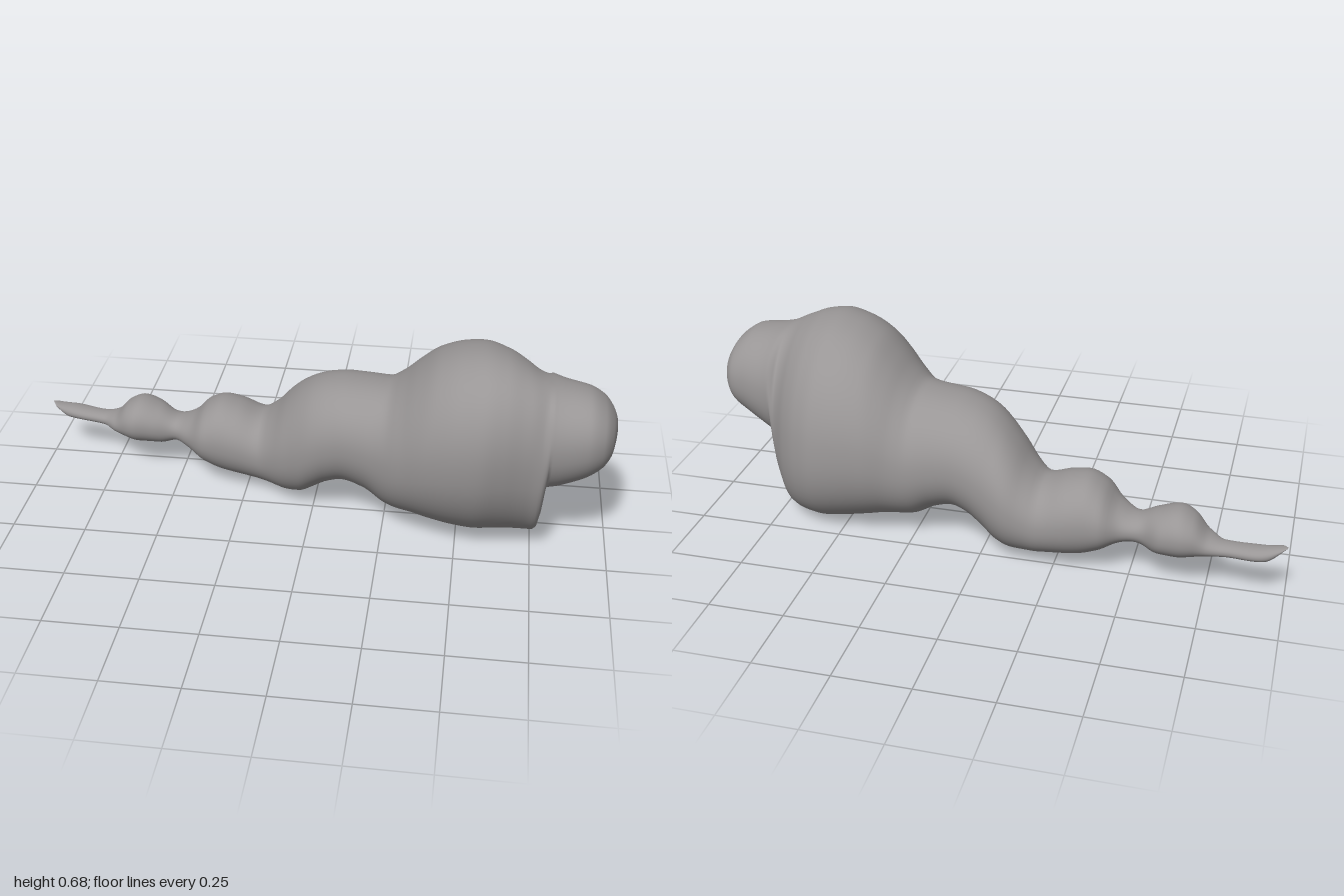
import * as THREE from 'three';

// Outline tables: [x, low, high]
const SIDE = [ // heights of underside and back
  [-1, .195, .195], [-.93, .14, .185], [-.8, .13, .175], [-.75, .12, .19], [-.7, .108, .24], [-.65, .1, .26],
  [-.58, .1, .24], [-.51, .12, .21], [-.45, .1, .235], [-.4, .07, .285], [-.34, .045, .31], [-.28, .035, .3],
  [-.2, .025, .275], [-.15, .02, .31], [-.1, .015, .37], [-.05, .025, .42], [0, .06, .455], [.05, .095, .475],
  [.11, .115, .487], [.18, .095, .49], [.25, .055, .492], [.3, .045, .525], [.35, .04, .575], [.42, .025, .635],
  [.5, .01, .67], [.57, .001, .682], [.64, .003, .67], [.7, .008, .645], [.75, .028, .62], [.77, .065, .612],
  [.783, .225, .607], [.82, .24, .598], [.9, .28, .585], [.95, .315, .555], [.98, .355, .515], [.995, .4, .475], [1, .44, .44],
];
const PLAN = [ // z of the right and left flanks
  [-1, -.275, -.275], [-.98, -.29, -.25], [-.91, -.31, -.235], [-.8, -.295, -.22], [-.75, -.3, -.18], [-.66, -.325, -.13],
  [-.6, -.315, -.135], [-.53, -.275, -.148], [-.47, -.28, -.11], [-.4, -.315, -.05], [-.3, -.32, -.03], [-.21, -.312, -.02],
  [-.1, -.315, .05], [0, -.29, .105], [.1, -.27, .132], [.2, -.262, .155], [.3, -.275, .22], [.4, -.298, .28],
  [.5, -.305, .312], [.57, -.3, .32], [.64, -.27, .307], [.7, -.22, .29], [.77, -.13, .275], [.82, -.098, .269],
  [.9, -.065, .26], [.95, -.045, .235], [.98, -.01, .19], [.995, .035, .12], [1, .075, .075],
];
const LEAN = [[-1, 0], [.2, .08], [.5, .16], [.72, .25], [.8, .1], [1, .1]]; // skew of the sections

// Smooth interpolation of column k that never overshoots the table
function sample(table, k, x) {
  const last = table.length - 2;
  let i = 0;
  while (i < last && x > table[i + 1][0]) i++;
  const d = n => (table[n + 1][k] - table[n][k]) / (table[n + 1][0] - table[n][0]);
  const slope = n => {
    if (n === 0) return d(0);
    if (n > last) return d(last);
    const a = d(n - 1), b = d(n);
    return a * b <= 0 ? 0 : 2 * a * b / (a + b);
  };
  const h = table[i + 1][0] - table[i][0], t = (x - table[i][0]) / h;
  const t2 = t * t, t3 = t2 * t;
  return (2 * t3 - 3 * t2 + 1) * table[i][k] + (t3 - 2 * t2 + t) * h * slope(i)
    + (3 * t2 - 2 * t3) * table[i + 1][k] + (t3 - t2) * h * slope(i + 1);
}

// Closed loft of skewed, slightly squared ellipses along x
function loftBody(rings, sides) {
  const positions = [], index = [];
  const soft = v => Math.sign(v) * Math.abs(v) ** 0.93;
  for (let i = 0; i <= rings; i++) {
    const x = -Math.cos(Math.PI * i / rings);
    const y0 = sample(SIDE, 1, x), y1 = sample(SIDE, 2, x);
    const z0 = sample(PLAN, 1, x), z1 = sample(PLAN, 2, x);
    const lean = sample(LEAN, 1, x);
    for (let j = 0; j < sides; j++) {
      const t = j / sides * Math.PI * 2;
      positions.push(x,
        (y0 + y1) / 2 + (y1 - y0) / 2 * soft(Math.sin(t + lean)),
        (z0 + z1) / 2 + (z1 - z0) / 2 * soft(Math.cos(t)));
      if (i < rings) {
        const a = i * sides + j, b = i * sides + (j + 1) % sides;
        index.push(a, a + sides, b + sides, a, b + sides, b);
      }
    }
  }
  const geometry = new THREE.BufferGeometry();
  geometry.setAttribute('position', new THREE.Float32BufferAttribute(positions, 3));
  geometry.setIndex(index);
  geometry.computeVertexNormals();
  return geometry;
}

export function createModel() {
  const group = new THREE.Group();
  group.name = 'segmentedCreature';
  const grey = new THREE.MeshStandardMaterial({ color: 0x999696 });
  grey.name = 'warm grey';

  // One continuous skin: tail, bulging segments, chest lobe and blunt head
  const body = new THREE.Mesh(loftBody(220, 64), grey);
  body.name = 'body';
  group.add(body);
  return group;
}
